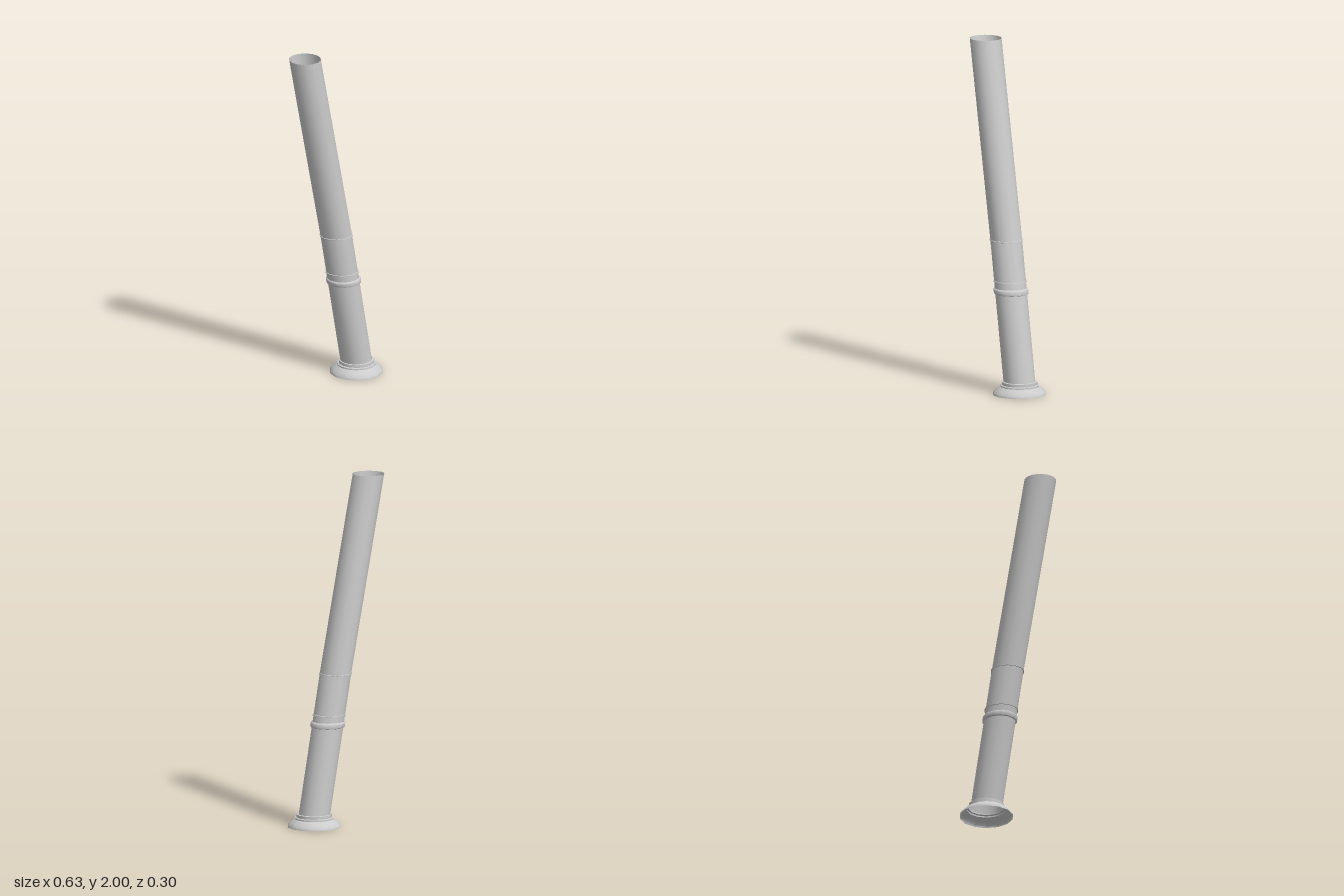
import * as THREE from 'three';
import { toCreasedNormals } from 'three/addons/utils/BufferGeometryUtils.js';

const SIDES = 14;
const R = 0.092;
const BASE_X = 0.162, FOOT_Y = 0.075, BEND_Y = 0.87, BEND_X = 0.01, TOP_X = -0.225;

// Centre of the leaning pipe at a given height: upright foot, slight bend at the upper joint
function centreX(y) {
  if (y <= FOOT_Y) return BASE_X;
  if (y <= BEND_Y) return THREE.MathUtils.mapLinear(y, FOOT_Y, BEND_Y, BASE_X, BEND_X);
  return THREE.MathUtils.mapLinear(y, BEND_Y, 2, BEND_X, TOP_X);
}

export function createModel() {
  const group = new THREE.Group();
  const material = new THREE.MeshStandardMaterial({ color: 0xcccccc, side: THREE.DoubleSide });

  // Turn a [radius, height] profile, then slide each horizontal section along the lean
  function addTurned(name, profile) {
    const points = profile.map(([r, y]) => new THREE.Vector2(r, y));
    const geometry = new THREE.LatheGeometry(points, SIDES, Math.PI / 2);
    const pos = geometry.attributes.position;
    for (let i = 0; i < pos.count; i++) pos.setX(i, pos.getX(i) + centreX(pos.getY(i)));
    const mesh = new THREE.Mesh(toCreasedNormals(geometry, 0.55), material);
    mesh.name = name;
    group.add(mesh);
  }

  // Open pipe sections
  addTurned('lowerPipe', [[R, 0.06], [R, BEND_Y]]);
  addTurned('upperPipe', [[R, BEND_Y], [R, 2]]);

  // Flared foot with two stepped lips
  addTurned('footFlange', [
    [0.154, 0], [0.152, 0.01], [0.137, 0.027], [0.112, 0.046],
    [0.112, 0.054], [0.102, 0.057], [0.102, 0.073], [R, 0.075],
  ]);

  // Rounded collar
  addTurned('collar', [
    [R, 0.566], [0.099, 0.569], [0.101, 0.576], [0.101, 0.589],
    [0.099, 0.595], [R, 0.6],
  ]);

  // Thin joint rings
  for (const [name, y, r] of [['middleRing', 0.638, 0.097], ['upperRing', BEND_Y, 0.096]]) {
    addTurned(name, [[R, y - 0.004], [r, y - 0.003], [r, y + 0.003], [R, y + 0.004]]);
  }

  return group;
}
